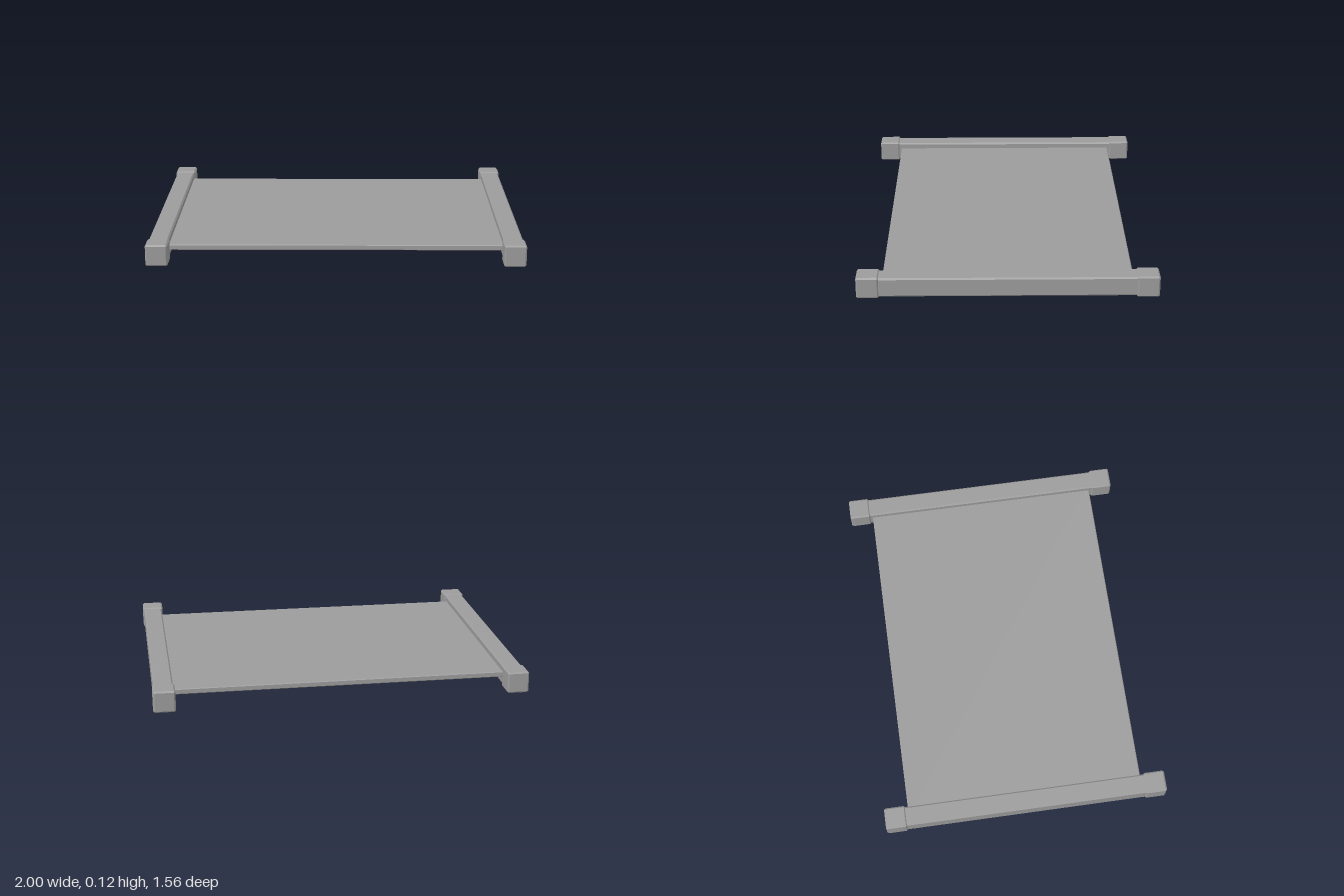
import * as THREE from 'three';
import { ConvexGeometry } from 'three/addons/geometries/ConvexGeometry.js';

const CAP = 0.117; // end block size
const RAIL = 0.105; // rail thickness
const DEPTH = 1.56;

// Box with a flat chamfer on every edge: each corner becomes three points
function chamferedBox(size, bevel) {
  const points = [];
  for (const sx of [-1, 1]) for (const sy of [-1, 1]) for (const sz of [-1, 1]) {
    for (let face = 0; face < 3; face++) {
      const [x, y, z] = size.map((s, axis) => s / 2 - (axis === face ? 0 : bevel));
      points.push(new THREE.Vector3(sx * x, sy * y, sz * z));
    }
  }
  return new ConvexGeometry(points);
}

export function createModel() {
  const model = new THREE.Group();
  const material = new THREE.MeshStandardMaterial({ color: 0x9c9c9c });

  const addBox = (name, size, position, bevel) => {
    const mesh = new THREE.Mesh(chamferedBox(size, bevel), material);
    mesh.name = name;
    mesh.position.set(...position);
    model.add(mesh);
  };

  // Thin flat sheet spanning between the rails
  addBox('panel', [1.86, 0.03, 1.3], [0, 0.063, 0], 0.004);

  for (const side of [-1, 1]) {
    const label = side > 0 ? 'left' : 'right';
    const x = side * (1 - CAP / 2);

    // Side rail running front to back
    addBox(`${label}Rail`, [RAIL, RAIL, DEPTH - CAP], [x, CAP / 2, 0], 0.008);

    // Slightly larger block on each rail end
    for (const end of [-1, 1]) {
      addBox(`${label}${end > 0 ? 'Front' : 'Back'}EndBlock`, [CAP, CAP, CAP],
        [x, CAP / 2, end * (DEPTH - CAP) / 2], 0.008);
    }
  }
  return model;
}
